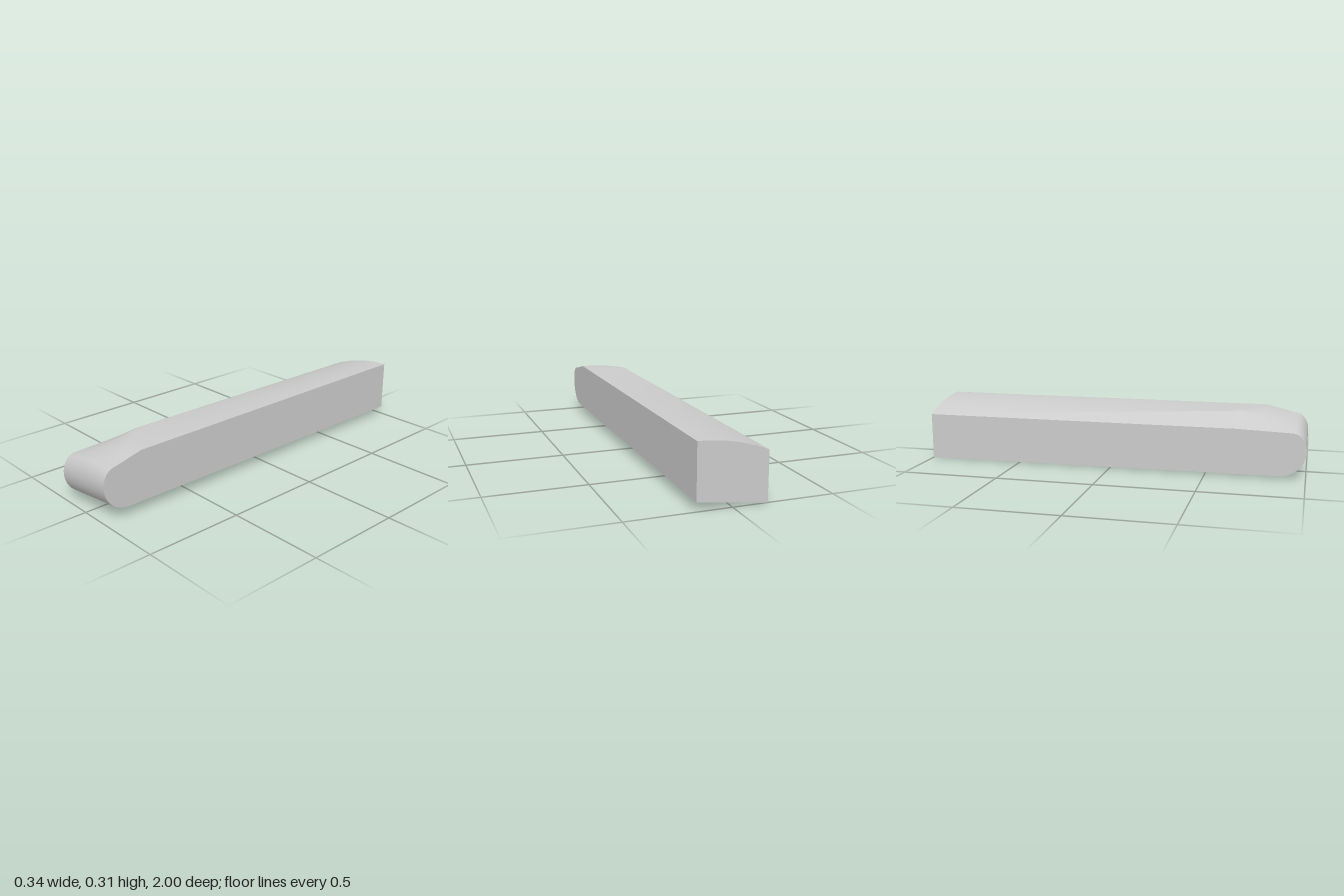
import * as THREE from 'three';
import { toCreasedNormals } from 'three/addons/utils/BufferGeometryUtils.js';

const W = 0.17, TOP = 0.313, DROP = 0.071, KINK = 0.34;
const COLS = 24, KCOL = 18, TOP_STEPS = 24, SLOPE_STEPS = 4, ARC = 10;
const lerp = THREE.MathUtils.lerp;

// Column position across the width: 0 at +x, 1 at -x, following the ridge.
function across(j, s) {
  const ridge = 1 - KINK * s;
  return j <= KCOL ? ridge * j / KCOL : lerp(ridge, 1, (j - KCOL) / (COLS - KCOL));
}

// Top surface: a crown at the back that becomes a flat with a chamfer in front.
function topPoint(j, z) {
  const s = Math.min(1, (z + 1) / 1.65), t = across(j, s);
  const ridgeDrop = DROP * (1 - s);
  const drop = j <= KCOL
    ? ridgeDrop * (j / KCOL) ** 2
    : lerp(ridgeDrop, DROP, (j - KCOL) / (COLS - KCOL));
  return [W - 2 * W * t, TOP - drop, z];
}

// Closed lengthwise outline of one column: bottom, rounded nose, slope, top.
function outline(j) {
  const t = across(j, 1), x = W - 2 * W * t, tilt = -0.043 * t;
  const mid = 0.185 + tilt, low = 0.054 + tilt, noseTop = 0.277 - 0.045 * t * t;
  const breakZ = 0.785 - 0.135 * Math.min(1, t / (1 - KINK)) ** 3;
  const pts = [[across(j, 0) * -2 * W + W, 0.043 - 0.043 * across(j, 0), -1]];
  for (let i = 0; i <= ARC; i++) {
    const a = i / ARC * Math.PI / 2;
    pts.push([x, mid - (mid - low) * Math.cos(a), 0.87 + 0.13 * Math.sin(a)]);
  }
  for (let i = 1; i <= ARC; i++) {
    const a = i / ARC * Math.PI / 2;
    pts.push([x, mid + (noseTop - mid) * Math.sin(a), 0.93 + 0.07 * Math.cos(a)]);
  }
  const edge = topPoint(j, breakZ);
  for (let i = 1; i < SLOPE_STEPS; i++) {
    const k = i / SLOPE_STEPS;
    pts.push([x, lerp(noseTop, edge[1], k), lerp(0.93, breakZ, k)]);
  }
  for (let i = 0; i <= TOP_STEPS; i++) pts.push(topPoint(j, lerp(breakZ, -1, i / TOP_STEPS)));
  return pts;
}

function bodyGeometry() {
  const positions = [], index = [];
  let n = 0;
  for (let j = 0; j <= COLS; j++) {
    const ring = outline(j);
    n = ring.length;
    positions.push(...ring.flat());
  }
  // Skin between neighbouring columns
  for (let j = 0; j < COLS; j++) {
    for (let i = 0; i < n; i++) {
      const k = (i + 1) % n;
      const a = j * n + i, b = j * n + k, c = a + n, d = b + n;
      index.push(a, b, c, b, d, c);
    }
  }
  // Flat side walls
  const left = positions.length / 3, right = left + 1;
  positions.push(W, 0.17, 0, -W, 0.13, 0);
  for (let i = 0; i < n; i++) {
    const k = (i + 1) % n;
    index.push(left, k, i, right, COLS * n + i, COLS * n + k);
  }
  const geometry = new THREE.BufferGeometry();
  geometry.setAttribute('position', new THREE.Float32BufferAttribute(positions, 3));
  geometry.setIndex(index);
  return toCreasedNormals(geometry, 0.42);
}

export function createModel() {
  const model = new THREE.Group();
  model.name = 'roundNosedBar';
  const body = new THREE.Mesh(bodyGeometry(), new THREE.MeshStandardMaterial({ color: 0xcccccc }));
  body.name = 'barBody';
  model.add(body);
  return model;
}
